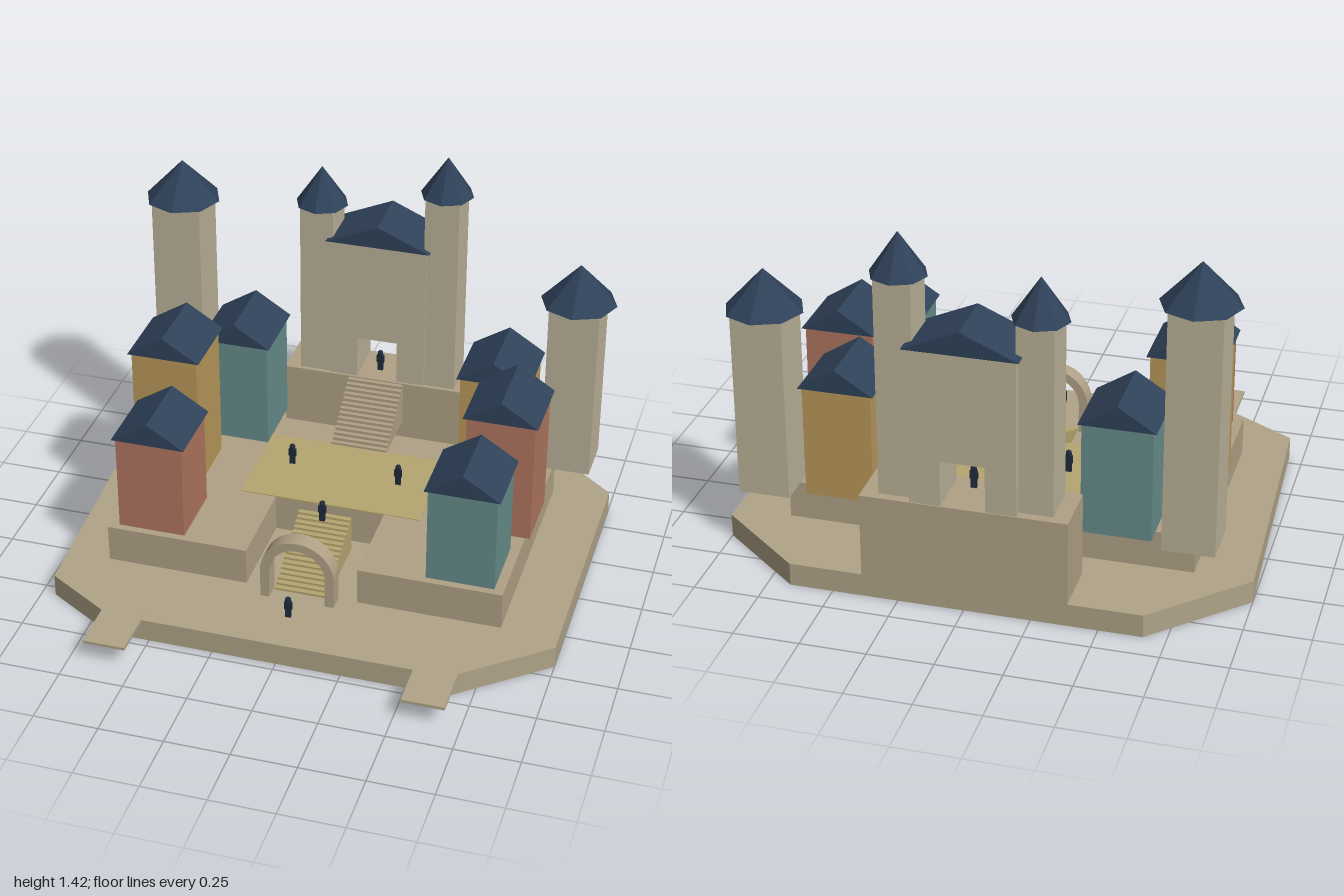
import * as THREE from 'three';

const mat = (color) => new THREE.MeshStandardMaterial({ color, flatShading: true });
const M = {
  ground: mat(0xb0a488), stone: mat(0xb0a186), wall: mat(0xbab198), roof: mat(0x2f4259),
  teal: mat(0x668d8a), ochre: mat(0xb8975a), red: mat(0xb07560), sand: mat(0xb5a670), figure: mat(0x1f2a3c),
};

export function createModel() {
  const root = new THREE.Group();
  root.name = 'castleTown';

  const add = (name, geometry, material, parent = root) => {
    const mesh = new THREE.Mesh(geometry, material);
    mesh.name = name;
    parent.add(mesh);
    return mesh;
  };
  const group = (name) => {
    const g = new THREE.Group();
    g.name = name;
    root.add(g);
    return g;
  };
  // Box given by its limits on each axis
  const box = (name, x0, x1, y0, y1, z0, z1, material, parent) => {
    const geo = new THREE.BoxGeometry(x1 - x0, y1 - y0, z1 - z0);
    geo.translate((x0 + x1) / 2, (y0 + y1) / 2, (z0 + z1) / 2);
    return add(name, geo, material, parent);
  };
  // Ground plan of [x, z] corners raised from y0 to y1
  const slab = (name, plan, y0, y1, material) => {
    const shape = new THREE.Shape(plan.map(([x, z]) => new THREE.Vector2(x, -z)));
    const geo = new THREE.ExtrudeGeometry(shape, { depth: y1 - y0, bevelEnabled: false });
    geo.rotateX(-Math.PI / 2).translate(0, y0, 0);
    return add(name, geo, material);
  };
  // Front outline pushed from z0 to z1
  const front = (name, shape, z0, z1, material, parent) => {
    const geo = new THREE.ExtrudeGeometry(shape, { depth: z1 - z0, bevelEnabled: false, curveSegments: 12 });
    geo.translate(0, 0, z0);
    return add(name, geo, material, parent);
  };
  const outline = (points) => new THREE.Shape(points.map(([x, y]) => new THREE.Vector2(x, y)));
  const gable = (name, x, half, y, rise, z0, z1, parent) =>
    front(name, outline([[x - half, y], [x + half, y], [x, y + rise]]), z0, z1, M.roof, parent);

  // Ground plate with two landing stages
  slab('groundPlate', [[-0.665, -0.89], [0.665, -0.89], [1, -0.615], [1, 0.44], [0.663, 0.715],
    [-0.663, 0.715], [-0.945, 0.545], [-1, -0.56]], 0, 0.09, M.ground);
  for (const s of [-1, 1]) {
    const x = s * 0.61;
    box(s > 0 ? 'leftLanding' : 'rightLanding', x - 0.082, x + 0.082, 0.08, 0.092, 0.66, 0.895, M.ground);
  }

  // Town terrace with a notch for the lower stairs
  slab('terrace', [[-0.78, -0.56], [0.78, -0.56], [0.78, 0.38], [0.22, 0.38], [0.22, 0],
    [-0.22, 0], [-0.22, 0.38], [-0.78, 0.38]], 0.09, 0.24, M.stone);
  box('plaza', -0.365, 0.365, 0.235, 0.243, -0.425, 0, M.sand);
  box('podium', -0.387, 0.387, 0.05, 0.42, -0.89, -0.672, M.stone);

  // Stairs climbing towards the back
  const stairs = (name, half, y0, y1, zFront, zBack, count, material) => {
    const g = group(name);
    const rise = (y1 - y0) / count, run = (zFront - zBack) / count;
    for (let i = 0; i < count; i++) {
      const z = zFront - i * run;
      box('step', -half, half, y0, y0 + (i + 1) * rise, z - run, z, material, g);
    }
  };
  stairs('lowerStairs', 0.105, 0.09, 0.24, 0.39, 0.055, 16, M.sand);
  stairs('upperStairs', 0.115, 0.24, 0.415, -0.42, -0.672, 14, M.stone);

  // Arch in front of the lower stairs
  const arch = new THREE.Shape();
  arch.moveTo(0.145, 0.09);
  arch.lineTo(0.145, 0.212);
  arch.absarc(0, 0.212, 0.145, 0, Math.PI, false);
  arch.lineTo(-0.145, 0.09);
  arch.lineTo(-0.11, 0.09);
  arch.lineTo(-0.11, 0.212);
  arch.absarc(0, 0.212, 0.11, Math.PI, 0, true);
  arch.lineTo(0.11, 0.09);
  front('arch', arch, 0.372, 0.44, M.stone);

  // Keep with an open gateway
  const keep = group('keep');
  front('keepWalls', outline([[-0.198, 0.42], [-0.083, 0.42], [-0.083, 0.6], [0.083, 0.6], [0.083, 0.42],
    [0.198, 0.42], [0.198, 1.035], [-0.198, 1.035]]), -0.885, -0.682, M.wall, keep);
  gable('keepRoof', 0, 0.213, 1.035, 0.093, -0.905, -0.665, keep);

  // Square towers with eight-sided roofs: x, z, width, depth, foot, eaves, roof radius
  const towers = [
    ['rightCornerTower', -0.779, -0.59, 0.197, 0.197, 0.245, 1.19, 0.15],
    ['leftCornerTower', 0.832, -0.59, 0.197, 0.197, 0.245, 0.97, 0.15],
    ['rightKeepTower', -0.257, -0.772, 0.137, 0.165, 0.42, 1.15, 0.107],
    ['leftKeepTower', 0.255, -0.772, 0.137, 0.165, 0.42, 1.26, 0.107],
  ];
  for (const [name, x, z, w, d, y0, y1, r] of towers) {
    const g = group(name);
    box('towerShaft', x - w / 2, x + w / 2, y0, y1, z - d / 2, z + d / 2, M.wall, g);
    add('towerRoof', new THREE.ConeGeometry(r, 0.16, 8), M.roof, g).position.set(x, y1 + 0.08, z);
  }

  // Gabled houses: x, z, eaves, wall colour
  const houses = [
    ['rightBackHouse', -0.5, -0.497, 0.685, M.teal],
    ['leftBackHouse', 0.555, -0.497, 0.685, M.ochre],
    ['rightMiddleHouse', -0.667, -0.135, 0.8, M.ochre],
    ['leftMiddleHouse', 0.667, -0.135, 0.745, M.red],
    ['rightFrontHouse', -0.61, 0.217, 0.635, M.red],
    ['leftFrontHouse', 0.61, 0.217, 0.635, M.teal],
  ];
  for (const [name, x, z, eaves, material] of houses) {
    const g = group(name);
    box('houseWalls', x - 0.132, x + 0.132, 0.24, eaves, z - 0.134, z + 0.134, material, g);
    gable('houseRoof', x, 0.145, eaves, 0.092, z - 0.147, z + 0.147, g);
  }

  // Small standing figures: x, foot height, z
  const people = [[0, 0.1, 0.55], [0, 0.238, 0.1], [-0.222, 0.252, -0.23], [0.222, 0.252, -0.203], [0, 0.43, -0.74]];
  for (const [x, y, z] of people) {
    const g = group('figure');
    g.position.set(x, y, z);
    for (const s of [-1, 1]) {
      box('leg', s * 0.006 - 0.005, s * 0.006 + 0.005, 0, 0.04, -0.006, 0.006, M.figure, g);
      box('arm', s * 0.012 - 0.003, s * 0.012 + 0.003, 0.036, 0.068, -0.005, 0.005, M.figure, g);
    }
    box('torso', -0.011, 0.011, 0.036, 0.07, -0.008, 0.008, M.figure, g);
    add('head', new THREE.SphereGeometry(0.012, 8, 6), M.figure, g).position.y = 0.079;
  }

  return root;
}
